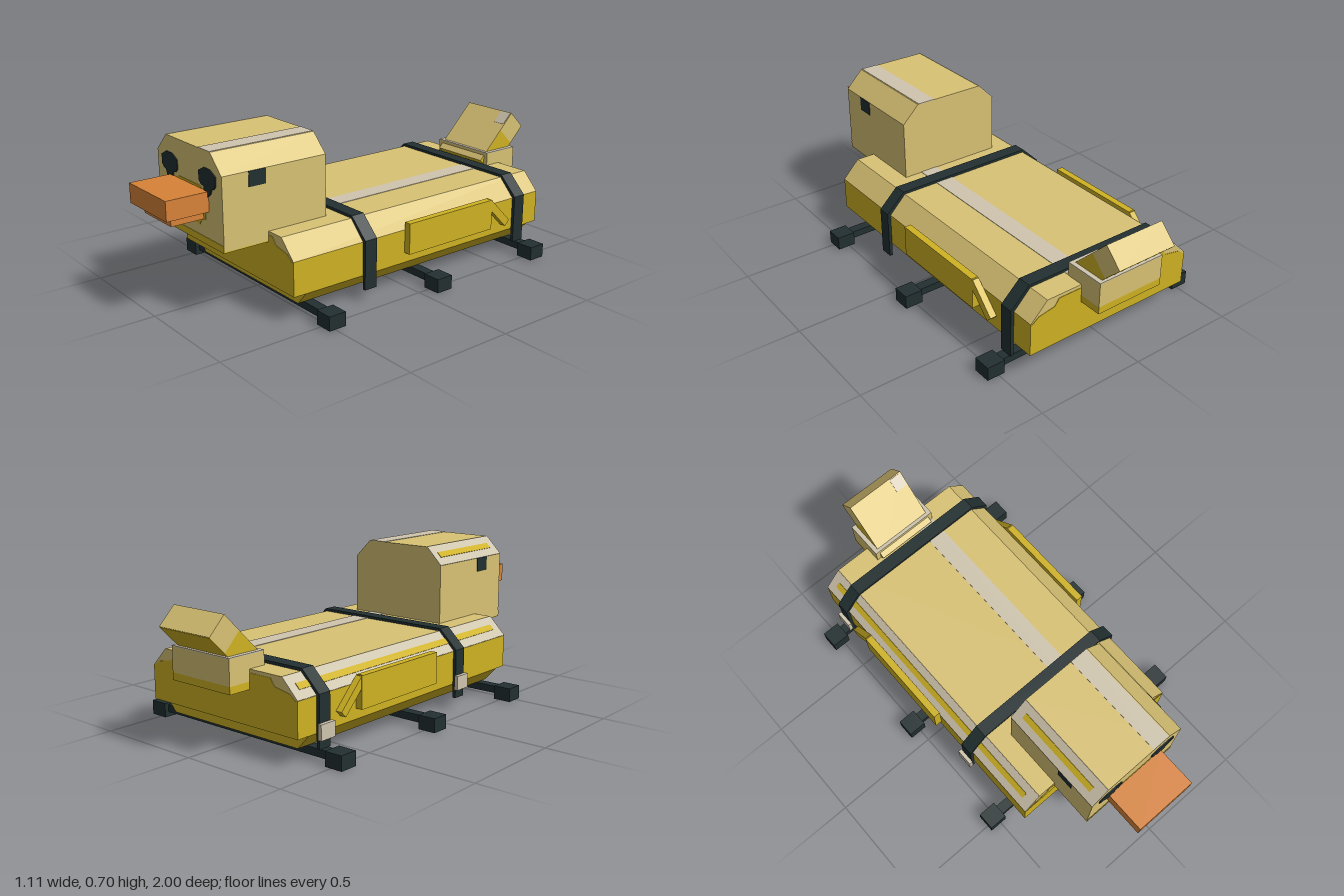
import * as THREE from 'three';

const mat = (name, color) => {
  const m = new THREE.MeshStandardMaterial({ color });
  m.name = name;
  return m;
};

export function createModel() {
  const tan = mat('tan', 0xd8c274), yellow = mat('yellow', 0xcfb223), orange = mat('orange', 0xd78338);
  const dark = mat('charcoal', 0x222f30), pale = mat('paleHighlight', 0xcfc5ae);
  const model = new THREE.Group();
  model.name = 'duckSled';

  const group = (name, parent = model) => {
    const g = new THREE.Group();
    g.name = name;
    parent.add(g);
    return g;
  };
  const add = (name, geo, material, parent) => {
    const m = new THREE.Mesh(geo, material);
    m.name = name;
    parent.add(m);
    return m;
  };
  // Box given by its minimum and maximum along each axis
  const box = (name, material, [x0, x1], [y0, y1], [z0, z1], parent) => {
    const m = add(name, new THREE.BoxGeometry(x1 - x0, y1 - y0, z1 - z0), material, parent);
    m.position.set((x0 + x1) / 2, (y0 + y1) / 2, (z0 + z1) / 2);
    return m;
  };
  // Outline in x and y, extruded from z0 to z1
  const prism = (name, material, pts, z0, z1, parent) => {
    const shape = new THREE.Shape(pts.map(p => new THREE.Vector2(...p)));
    const geo = new THREE.ExtrudeGeometry(shape, { depth: z1 - z0, bevelEnabled: false });
    geo.translate(0, 0, z0);
    return add(name, geo, material, parent);
  };
  // Completes a right-hand outline with its mirror image
  const mirror = pts => [...pts, ...pts.map(([x, y]) => [-x, y]).reverse()];
  // Thin strip lying on the right-hand (-x) chamfer, centred at x, y
  const chamferStrip = (name, material, x, y, width, z0, z1, thick, parent) => {
    const m = add(name, new THREE.BoxGeometry(width, thick, z1 - z0), material, parent);
    m.position.set(x, y, (z0 + z1) / 2);
    m.rotation.z = Math.PI / 4;
  };

  // Body: sloped hull, yellow sides and chamfered tan back
  const body = group('body');
  prism('hull', yellow, mirror([[0.36, 0.055], [0.418, 0.118]]), -0.76, 0.54, body);
  box('bodySides', yellow, [-0.418, 0.418], [0.118, 0.268], [-0.82, 0.6], body);
  prism('bodyTop', tan, mirror([[0.418, 0.268], [0.338, 0.35]]), -0.82, 0.6, body);
  const breast = mirror([[0.412, 0.266], [0.38, 0.29], [0.3, 0.305], [0.28, 0.335]]);
  prism('breastPatch', yellow, breast, 0.598, 0.602, body);
  prism('rumpPatch', yellow, breast, -0.822, -0.818, body);
  box('backHighlight', pale, [0.08, 0.165], [0.348, 0.352], [-0.82, 0.6], body);
  chamferStrip('sideHighlight', pale, -0.378, 0.309, 0.113, -0.82, 0.6, 0.004, body);
  chamferStrip('sideStreak', yellow, -0.379, 0.31, 0.03, -0.78, 0.55, 0.006, body);

  // Head
  const head = group('head');
  prism('skull', tan, mirror([[0.25, 0.31], [0.25, 0.62], [0.17, 0.7]]), 0.31, 0.81, head);
  box('headUnderside', yellow, [-0.25, 0.25], [0.305, 0.311], [0.31, 0.81], head);
  box('chinBand', yellow, [-0.25, 0.25], [0.305, 0.335], [0.808, 0.812], head);
  prism('beakPatch', yellow,
    mirror([[0.075, 0.38], [0.085, 0.395], [0.12, 0.41], [0.125, 0.45], [0.12, 0.53], [0.08, 0.545]]),
    0.808, 0.812, head);
  box('crownHighlight', pale, [0.08, 0.165], [0.698, 0.702], [0.31, 0.81], head);
  chamferStrip('cheekHighlight', pale, -0.21, 0.66, 0.113, 0.31, 0.81, 0.004, head);
  chamferStrip('cheekStreak', yellow, -0.211, 0.661, 0.03, 0.35, 0.76, 0.006, head);
  box('upperBeak', orange, [-0.148, 0.148], [0.45, 0.535], [0.81, 1], head);
  box('lowerBeak', orange, [-0.107, 0.107], [0.41, 0.45], [0.81, 0.96], head);
  const eye = [[0.12, 0.51], [0.145, 0.51], [0.17, 0.53], [0.18, 0.552], [0.195, 0.555], [0.209, 0.57],
    [0.209, 0.61], [0.17, 0.63], [0.125, 0.63], [0.085, 0.61], [0.085, 0.57], [0.1, 0.555], [0.12, 0.552]];
  for (const s of [1, -1]) {
    prism('frontEye', dark, eye.map(([x, y]) => [s * x, y]), 0.81, 0.815, head);
    box('sideEye', dark, [s * 0.25 - 0.003, s * 0.25 + 0.003], [0.555, 0.62], [0.608, 0.688], head);
  }

  // Tail: upright base with a raised, tilted feather block
  const tail = group('tail');
  box('tailBaseBottom', yellow, [-0.166, 0.166], [0.268, 0.3], [-0.925, -0.74], tail);
  box('tailBase', tan, [-0.166, 0.166], [0.3, 0.408], [-0.925, -0.74], tail);
  box('tailBaseHighlight', pale, [-0.166, 0.166], [0.408, 0.412], [-0.925, -0.74], tail);
  const feather = group('tailFeather', tail);
  feather.position.set(0, 0.54, -0.962);
  feather.rotation.x = -Math.PI / 4;
  box('featherRoot', yellow, [-0.145, 0.145], [-0.29, -0.105], [-0.053, 0.053], feather);
  box('featherTip', tan, [-0.145, 0.145], [-0.105, 0], [-0.053, 0.053], feather);
  box('featherFront', tan, [-0.145, 0.145], [-0.29, 0], [0.052, 0.055], feather);
  box('featherBack', yellow, [-0.145, 0.145], [-0.29, -0.002], [-0.055, -0.052], feather);
  box('featherHighlight', pale, [0.08, 0.14], [-0.07, -0.005], [0.054, 0.057], feather);

  // Wings, each with a slanted rear feather
  for (const s of [1, -1]) {
    const wing = group(s > 0 ? 'leftWing' : 'rightWing');
    const x = [s * 0.434 - 0.016, s * 0.434 + 0.016];
    box('wingPanel', yellow, x, [0.163, 0.303], [-0.485, 0.015], wing);
    const f = add('wingFeather', new THREE.BoxGeometry(0.03, 0.036, 0.176), yellow, wing);
    f.position.set(s * 0.433, 0.23, -0.53);
    f.rotation.x = -Math.PI / 4;
  }

  // Straps over the body, buckled on the right side
  const outer = [[0.433, 0.055], [0.433, 0.276], [0.344, 0.362]];
  const inner = [[0.418, 0.055], [0.418, 0.268], [0.338, 0.348]];
  const flip = pts => pts.map(([x, y]) => [-x, y]);
  const strapOutline = [...outer, ...flip(outer).reverse(), ...flip(inner), ...inner.slice().reverse()];
  for (const z of [0.215, -0.685]) {
    const strap = group('strap');
    prism('strapBand', dark, strapOutline, z - 0.031, z + 0.031, strap);
    box('buckle', pale, [-0.45, -0.433], [0.095, 0.16], [z - 0.04, z + 0.04], strap);
  }

  // Cross bars with block feet
  for (const z of [0.487, -0.098, -0.688]) {
    const bar = group('crossBar');
    box('bar', dark, [-0.475, 0.475], [0.022, 0.055], [z - 0.023, z + 0.023], bar);
    for (const s of [1, -1])
      box('foot', dark, [s * 0.513 - 0.042, s * 0.513 + 0.042], [0, 0.063], [z - 0.041, z + 0.041], bar);
  }
  return model;
}
